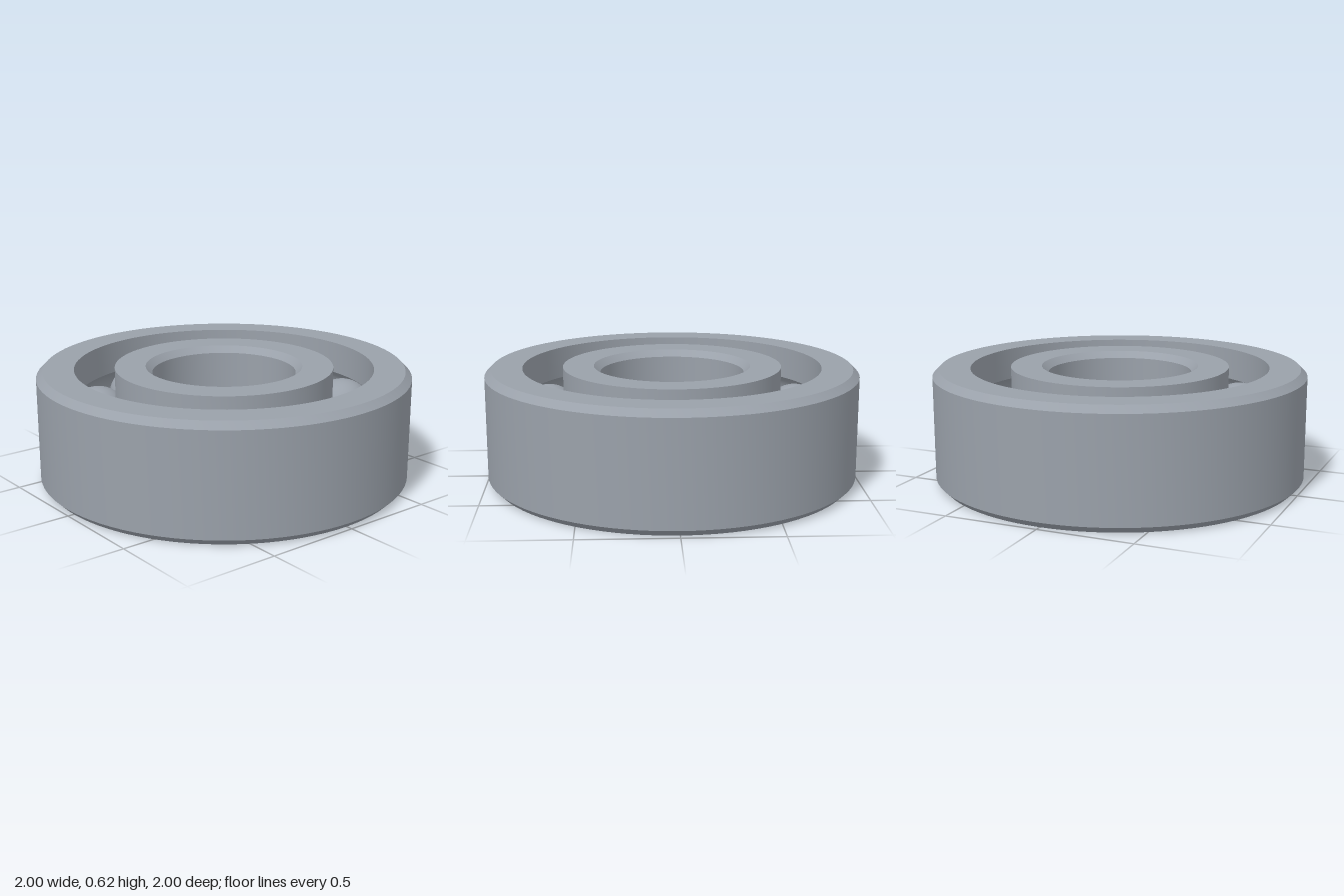
import * as THREE from 'three';
import { toCreasedNormals } from 'three/addons/utils/BufferGeometryUtils.js';

const HEIGHT = 0.615, MID = HEIGHT / 2, CHAMFER = 0.035;
const PITCH = 0.69, BALL = 0.17, GROOVE = 0.172, BALLS = 9;

// Points of the round raceway between two angles, centred on the ball circle
function raceway(from, to, steps = 16) {
  return Array.from({ length: steps + 1 }, (_, i) => {
    const a = from + (to - from) * i / steps;
    return [PITCH + GROOVE * Math.cos(a), MID + GROOVE * Math.sin(a)];
  });
}

// Closed cross-section, counter-clockwise, turned around the y axis
function ring(name, profile, material) {
  const points = [...profile, profile[0]].map(([r, y]) => new THREE.Vector2(r, y));
  const geometry = toCreasedNormals(new THREE.LatheGeometry(points, 96), 0.4);
  const mesh = new THREE.Mesh(geometry, material);
  mesh.name = name;
  return mesh;
}

export function createModel() {
  const steel = new THREE.MeshStandardMaterial({ color: 0x9aa1aa });
  steel.name = 'steel grey';
  const model = new THREE.Group();
  model.name = 'ballBearing';

  // Outer ring: chamfered outside, raceway on its inner wall
  const outerAngle = Math.acos((0.8 - PITCH) / GROOVE);
  model.add(ring('outerRing', [
    [0.8, 0], [1 - CHAMFER, 0], [1, CHAMFER],
    [1, HEIGHT - CHAMFER], [1 - CHAMFER, HEIGHT], [0.8, HEIGHT],
    ...raceway(outerAngle, -outerAngle),
  ], steel));

  // Inner ring: chamfered bore, raceway on its outer wall
  const bore = 0.385, shoulder = 0.585;
  const innerAngle = Math.acos((PITCH - shoulder) / GROOVE);
  model.add(ring('innerRing', [
    [bore + CHAMFER, 0], [shoulder, 0],
    ...raceway(Math.PI + innerAngle, Math.PI - innerAngle),
    [shoulder, HEIGHT], [bore + CHAMFER, HEIGHT],
    [bore, HEIGHT - CHAMFER], [bore, CHAMFER],
  ], steel));

  // Balls evenly spaced in the raceway
  const balls = new THREE.Group();
  balls.name = 'balls';
  const ballGeometry = new THREE.SphereGeometry(BALL, 40, 24);
  for (let i = 0; i < BALLS; i++) {
    const a = -0.037 + i * 2 * Math.PI / BALLS;
    const ball = new THREE.Mesh(ballGeometry, steel);
    ball.name = `ball${i + 1}`;
    ball.position.set(PITCH * Math.sin(a), MID, PITCH * Math.cos(a));
    balls.add(ball);
  }
  model.add(balls);
  return model;
}
